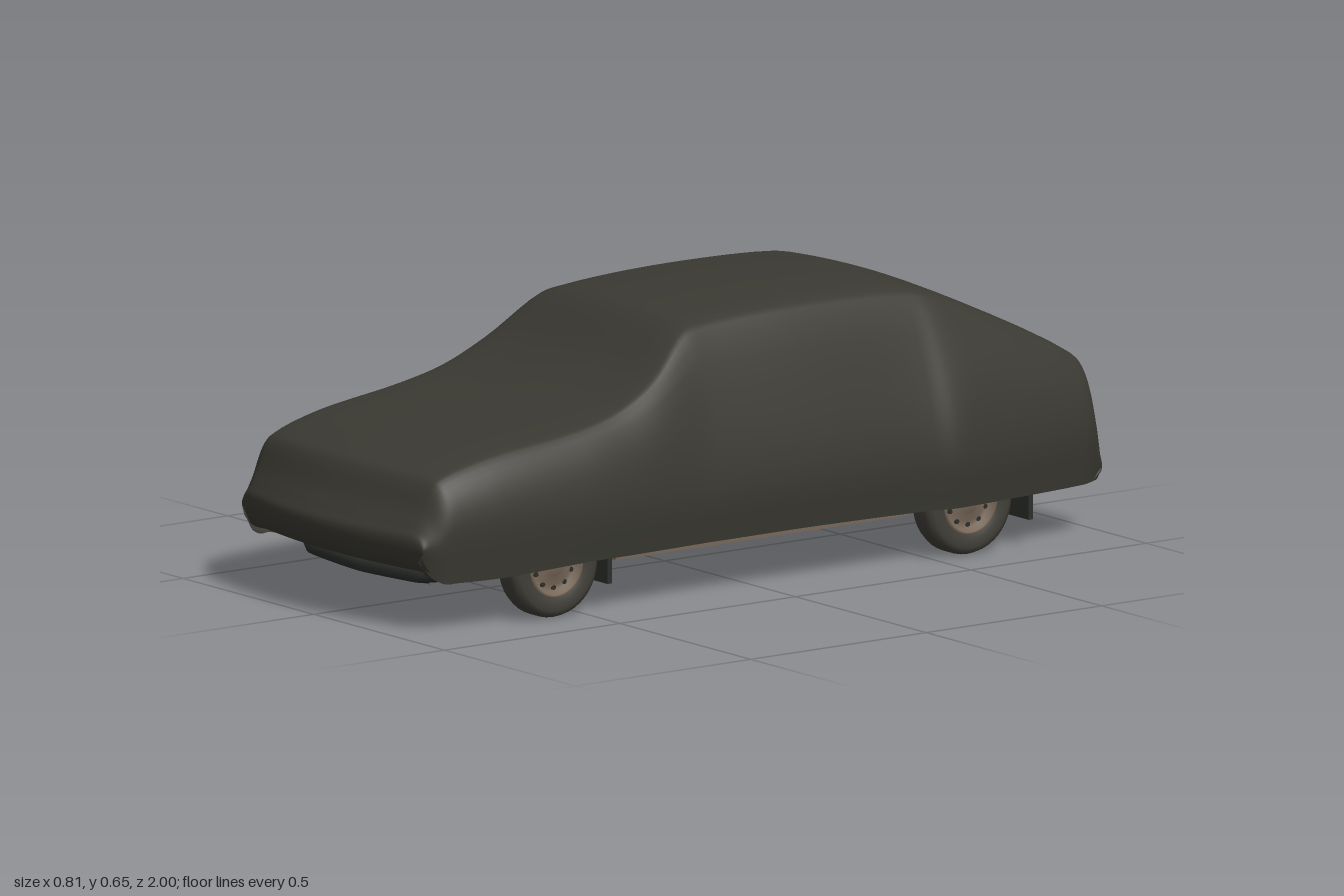
import * as THREE from 'three';

const mat = (name, color, side = THREE.FrontSide) => {
  const m = new THREE.MeshStandardMaterial({ color, side });
  m.name = name;
  return m;
};

export function createModel() {
  const root = new THREE.Group();
  root.name = 'coveredCar';
  const cloth = mat('cover cloth', 0x3a3932, THREE.DoubleSide);
  const rubber = mat('tyre rubber', 0x403e37);
  const metal = mat('wheel metal', 0x776758);
  const under = mat('underbody', 0x2b2e2b, THREE.DoubleSide);
  const frame = mat('chassis steel', 0x343735);
  const rust = mat('rusty exhaust', 0x663d2d);
  const patch = mat('rust patch', 0x4c2a20);

  const add = (name, geo, m, x = 0, y = 0, z = 0, parent = root) => {
    const mesh = new THREE.Mesh(geo, m);
    mesh.name = name;
    mesh.position.set(x, y, z);
    parent.add(mesh);
    return mesh;
  };
  const box = (name, m, w, h, d, x, y, z) => add(name, new THREE.BoxGeometry(w, h, d), m, x, y, z);
  const pipe = (name, m, r, pts) => {
    const path = new THREE.CatmullRomCurve3(pts.map(p => new THREE.Vector3(...p)), false, 'catmullrom', 0.2);
    return add(name, new THREE.TubeGeometry(path, 48, r, 8), m);
  };

  // Cover stations from under the chin to under the tail:
  // z, hem height, belt half-width, roof half-width, top height
  const stations = [
    [.88, .117, .345, .31, .122],
    [.965, .135, .345, .31, .15],
    [.995, .165, .345, .315, .19],
    [1.0, .17, .347, .315, .225],
    [.985, .155, .35, .315, .25],
    [.962, .13, .36, .32, .285],
    [.925, .115, .37, .325, .352],
    [.89, .115, .375, .327, .37],
    [.75, .115, .39, .335, .403],
    [.5, .125, .402, .345, .437],
    [.38, .125, .40, .34, .468],
    [.27, .125, .395, .325, .525],
    [.15, .125, .39, .285, .62],
    [.09, .125, .39, .28, .632],
    [-.15, .125, .39, .28, .645],
    [-.48, .12, .392, .28, .637],
    [-.54, .12, .405, .285, .623],
    [-.62, .12, .40, .288, .592],
    [-.93, .12, .365, .31, .434],
    [-.957, .12, .355, .31, .405],
    [-.975, .12, .345, .31, .33],
    [-.993, .12, .334, .31, .22],
    [-1.0, .125, .33, .31, .17],
    [-.975, .117, .33, .31, .122],
  ];
  // Each cross-section: hem, belt, shoulder, roof edge and crown, bowed forward at the nose
  const U = 48, V = 115;
  const rings = stations.map(([z, hemY, beltX, roofX, top]) => {
    const beltY = Math.min(.25, (hemY + top) / 2);
    const lift = .06 * (top - hemY), roofY = top - lift;
    const shoulderX = beltX - .32 * (beltX - roofX);
    const shoulderY = Math.min(.42, beltY + .6 * (roofY - beltY));
    const bow = .45 * Math.max(0, (z - .6) / .4) ** 2;
    const half = [[beltX - .015, hemY], [beltX, beltY], [shoulderX, shoulderY],
      [roofX, roofY], [roofX - .03, roofY + lift * .5], [.15, top - lift * .15]];
    const full = [...half, [0, top], ...half.map(([x, y]) => [-x, y]).reverse()];
    return new THREE.CatmullRomCurve3(full.map(([x, y]) => new THREE.Vector3(x, y, z - bow * x * x))).getPoints(U);
  });
  const columns = Array.from({ length: U + 1 }, (_, u) =>
    new THREE.CatmullRomCurve3(rings.map(r => r[u])).getPoints(V));
  const pos = [], index = [];
  for (let v = 0; v <= V; v++) for (let u = 0; u <= U; u++) {
    pos.push(...columns[u][v].toArray());
    if (v < V && u < U) {
      const a = v * (U + 1) + u, b = a + U + 1;
      index.push(a, b, a + 1, b, b + 1, a + 1);
    }
  }
  const coverGeo = new THREE.BufferGeometry();
  coverGeo.setAttribute('position', new THREE.Float32BufferAttribute(pos, 3));
  coverGeo.setIndex(index);
  coverGeo.computeVertexNormals();
  add('cover', coverGeo, cloth);

  // Floor pan with notches for the wheels
  const side = [[.27, .87], [.33, .74], [.26, .73], [.26, .43], [.36, .42], [.36, -.44],
    [.26, -.45], [.26, -.75], [.33, -.76], [.31, -.95]];
  const outline = [...side, ...side.map(([x, z]) => [-x, z]).reverse()];
  const floorGeo = new THREE.ExtrudeGeometry(new THREE.Shape(outline.map(p => new THREE.Vector2(...p))),
    { depth: .012, bevelEnabled: false });
  floorGeo.rotateX(Math.PI / 2);
  add('floorPan', floorGeo, under, 0, .15, 0);

  // Front valance with a painted lip, and engine bay underside
  pipe('frontValance', under, .02, [[-.3, .125, .79], [-.2, .108, .85], [0, .105, .87], [.2, .108, .85], [.3, .125, .79]]);
  pipe('valanceLip', metal, .005, [[-.22, .09, .83], [0, .086, .855], [.22, .09, .83]]);
  box('engineTray', under, .36, .03, .22, 0, .125, .72);
  box('enginePan', frame, .16, .05, .2, 0, .12, .55);
  box('gearboxTunnel', frame, .09, .02, .5, 0, .135, .2);

  // Wheels: tyre, dished rim and vent holes, turned to face outwards
  const lathe = pts => new THREE.LatheGeometry(pts.map(p => new THREE.Vector2(...p)), 40);
  const tyreGeo = lathe([[.07, -.03], [.085, -.037], [.105, -.0375], [.117, -.031], [.122, -.018],
    [.122, .018], [.117, .031], [.105, .0375], [.085, .037], [.07, .03]]);
  const rimGeo = lathe([[.076, .03], [.073, .036], [.068, .034], [.062, .016], [.045, .024],
    [.028, .022], [.024, .03], [.001, .032]]);
  const backGeo = new THREE.CylinderGeometry(.074, .074, .03, 24);
  const holeGeo = new THREE.CylinderGeometry(.006, .006, .006, 10);
  const makeWheel = (name, x, z) => {
    const g = new THREE.Group();
    g.name = name;
    add('tyre', tyreGeo, rubber, 0, 0, 0, g);
    add('rim', rimGeo, metal, 0, 0, 0, g);
    add('brakeDrum', backGeo, frame, 0, -.012, 0, g);
    for (let i = 0; i < 10; i++) {
      const a = i * Math.PI / 5;
      add('ventHole', holeGeo, under, Math.cos(a) * .052, .02, Math.sin(a) * .052, g);
    }
    g.rotation.z = x > 0 ? -Math.PI / 2 : Math.PI / 2;
    g.position.set(x, .122, z);
    root.add(g);
  };

  for (const s of [1, -1]) {
    const tag = s > 0 ? 'left' : 'right';
    makeWheel(tag + 'FrontWheel', s * .332, .58);
    makeWheel(tag + 'RearWheel', s * .332, -.6);
    // Mud flaps
    box(tag + 'FrontFlap', under, .12, .09, .012, s * .3, .105, .425);
    box(tag + 'RearFlap', under, .12, .09, .012, s * .3, .105, -.775);
    // Painted sills, rails and suspension arms
    box(tag + 'Sill', metal, .02, .025, .84, s * .352, .126, -.01);
    box(tag + 'Rail', frame, .035, .022, .8, s * .2, .128, .02);
    box(tag + 'SeatRib', frame, .06, .012, .35, s * .11, .134, .2);
    pipe(tag + 'FrontArm', frame, .012, [[s * .1, .11, .48], [s * .3, .11, .58]]);
    pipe(tag + 'FrontStrut', frame, .01, [[s * .12, .115, .72], [s * .3, .11, .58]]);
    pipe(tag + 'TrailingArm', frame, .013, [[s * .22, .12, -.36], [s * .27, .105, -.6]]);
  }
  box('frontCrossmember', frame, .42, .03, .05, 0, .12, .46);
  box('midCrossmember', frame, .6, .02, .05, 0, .13, -.14);
  box('rearCrossmember', frame, .5, .025, .05, 0, .128, -.42);
  pipe('rearAxle', frame, .02, [[-.3, .122, -.6], [.3, .122, -.6]]);
  const diff = add('differential', new THREE.SphereGeometry(.035, 16, 10), frame, 0, .122, -.6);
  diff.scale.z = 1.3;
  pipe('panhardRod', frame, .008, [[-.26, .11, -.67], [.22, .125, -.69]]);
  box('spareWheelTub', frame, .24, .03, .2, -.12, .13, -.83);

  // Exhaust run
  pipe('exhaustPipe', rust, .013, [[.06, .12, .6], [.12, .113, .62], [.11, .113, .5], [.02, .113, .2], [0, .113, .05],
    [-.02, .113, -.25], [0, .113, -.3], [.14, .113, -.46], [.17, .135, -.56], [.17, .135, -.66], [.17, .125, -.75]]);
  const silencer = (name, x, z) => {
    const m = add(name, new THREE.CylinderGeometry(.048, .048, .23, 20), rust, x, .125, z);
    m.rotation.x = Math.PI / 2;
    m.scale.z = .5;
  };
  silencer('middleSilencer', .005, .1);
  silencer('rearSilencer', .17, -.8);
  pipe('tailPipe', rust, .01, [[.18, .128, -.9], [.19, .13, -.95]]);

  // Rust patches on the floor
  box('floorRustRear', patch, .12, .004, .13, -.1, .136, -.3);
  box('floorRustFront', patch, .08, .004, .15, -.27, .136, .16);
  return root;
}
